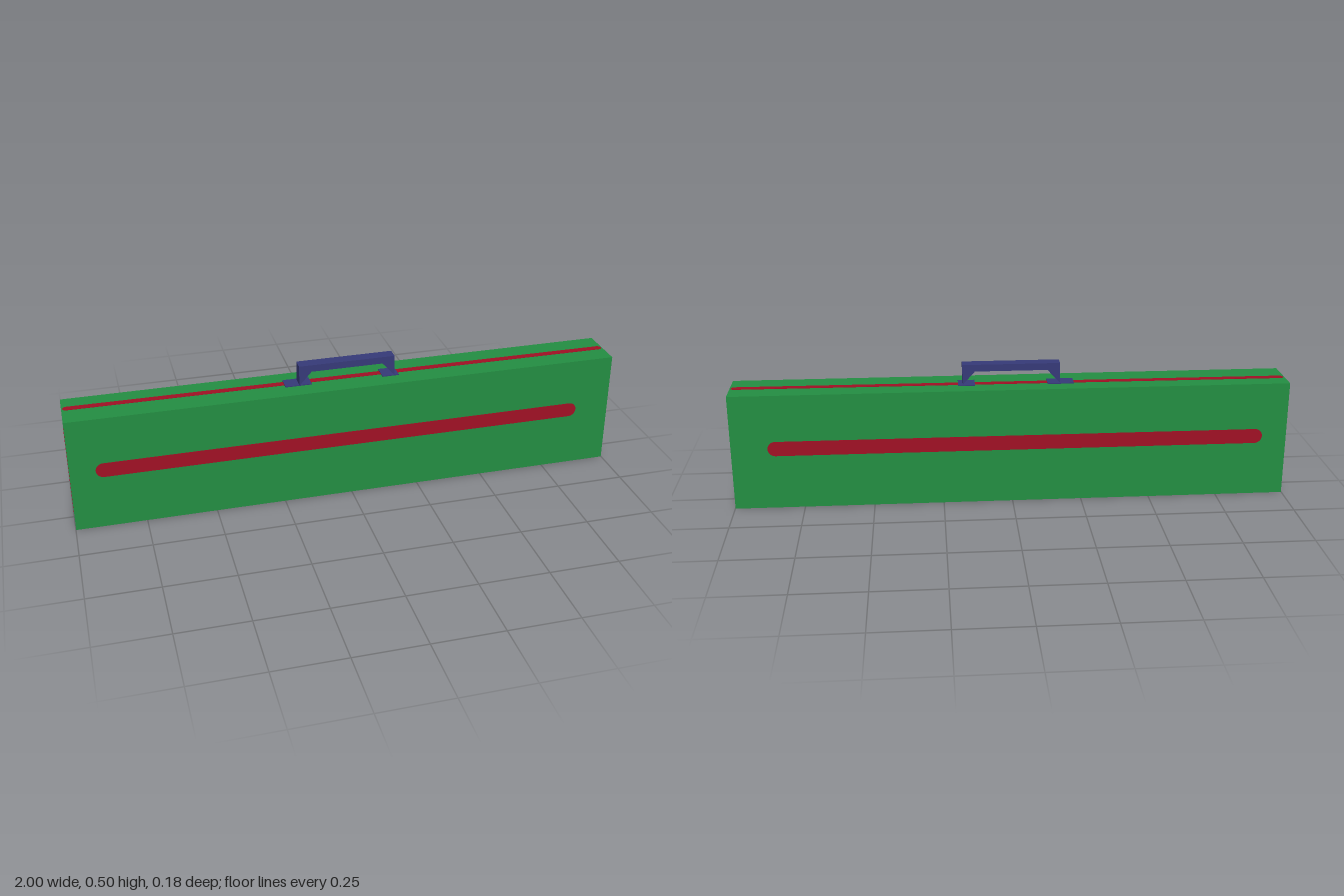
import * as THREE from 'three';

const green = new THREE.MeshStandardMaterial({ color: 0x238e42 });
green.name = 'caseGreen';
const red = new THREE.MeshStandardMaterial({ color: 0xa01024 });
red.name = 'stripeRed';
const navy = new THREE.MeshStandardMaterial({ color: 0x363a78 });
navy.name = 'handleNavy';

const PLATE = 0.002;

function add(group, name, geometry, material) {
  const mesh = new THREE.Mesh(geometry, material);
  mesh.name = name;
  group.add(mesh);
  return mesh;
}

// Thin bar with rounded ends, lying along x and facing +z
function stripeGeometry(length, width) {
  const r = width / 2, h = length / 2 - r;
  const shape = new THREE.Shape();
  shape.absarc(h, 0, r, -Math.PI / 2, Math.PI / 2);
  shape.absarc(-h, 0, r, Math.PI / 2, Math.PI * 1.5);
  shape.closePath();
  const g = new THREE.ExtrudeGeometry(shape, { depth: PLATE, bevelEnabled: false, curveSegments: 8 });
  return g.translate(0, 0, -PLATE / 2);
}

export function createModel() {
  const model = new THREE.Group();
  model.name = 'carryCase';

  // Case body
  const H = 0.425, D = 0.178;
  add(model, 'caseBody', new THREE.BoxGeometry(1.998, H, D).translate(0, H / 2, 0), green);

  // Stripes on the front and back
  for (const [name, s] of [['frontStripe', 1], ['backStripe', -1]]) {
    add(model, name, stripeGeometry(1.78, 0.054), red).position.set(-0.02, 0.226, s * D / 2);
  }

  // Upright stripes on the ends
  for (const [name, s] of [['leftEndStripe', 1], ['rightEndStripe', -1]]) {
    const g = stripeGeometry(0.346, 0.018).rotateZ(Math.PI / 2).rotateY(Math.PI / 2);
    add(model, name, g, red).position.set(s * 0.999, 0.188, 0);
  }

  // Slightly slanted seam stripe along the top
  const seam = add(model, 'topSeam', stripeGeometry(1.99, 0.026).rotateX(-Math.PI / 2), red);
  seam.position.set(0, H, -0.007);
  seam.rotation.y = -0.007;

  // Flat pads under the feet of the handle
  for (const [name, x0, x1, z0, z1] of [
    ['rightHandlePad', -0.225, -0.13, -0.032, 0.022],
    ['leftHandlePad', 0.13, 0.19, -0.032, 0.028],
  ]) {
    add(model, name, new THREE.BoxGeometry(x1 - x0, 0.004, z1 - z0), navy)
      .position.set((x0 + x1) / 2, H + 0.001, (z0 + z1) / 2);
  }

  // Handle: flat grip with feet tapering to a point
  const outline = [[-0.175, H], [-0.13, 0.475], [0.13, 0.475], [0.175, H], [0.175, 0.5], [-0.175, 0.5]];
  const shape = new THREE.Shape(outline.map(([x, y]) => new THREE.Vector2(x, y)));
  const grip = new THREE.ExtrudeGeometry(shape, { depth: 0.044, bevelEnabled: false });
  add(model, 'handle', grip.translate(0, 0, -0.022), navy);

  return model;
}
